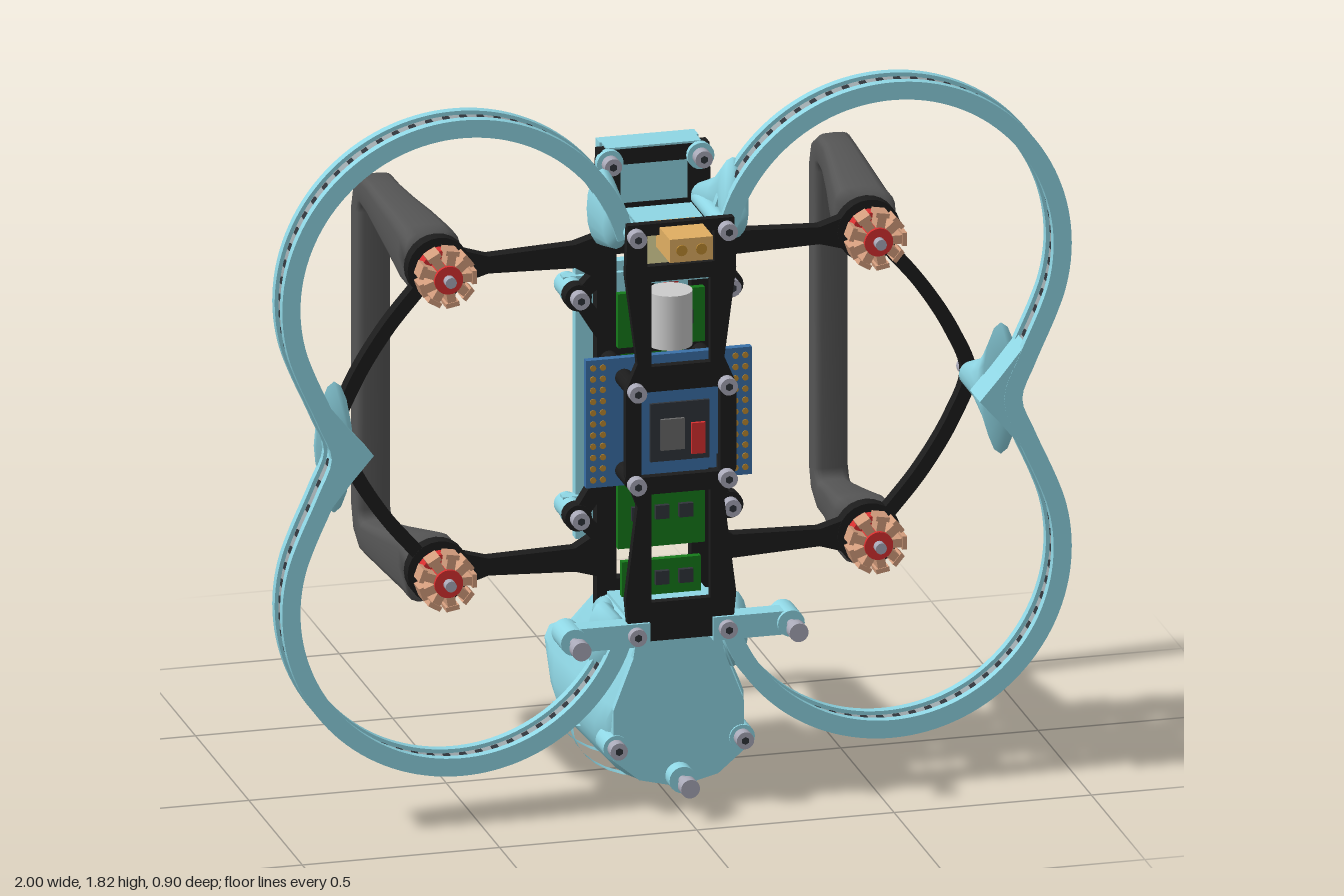
import * as THREE from 'three';

const mat = (color, side = THREE.FrontSide) => new THREE.MeshStandardMaterial({ color, side });
const CYAN = mat(0x8fd6e4), CYAN2 = mat(0x8fd6e4, THREE.DoubleSide), BLACK = mat(0x1c1c1c), GREY = mat(0x555555, THREE.DoubleSide);
const RED = mat(0xd83030), COPPER = mat(0xd29c7c), GREEN = mat(0x157a1a), BLUE = mat(0x3a70a8), GOLD = mat(0xbd8a30);
const YELLOW = mat(0xe0ae62), STEEL = mat(0xa9a9b8), SILVER = mat(0xcccccc), STRIP = mat(0x9aa4a8), CHIP = mat(0x30343a);
const MID = 0.98, MX = 0.545, MY = 0.393; // mirror height, motor offsets

export function createModel() {
  const root = new THREE.Group();
  let parent = root;
  const add = (name, geo, m) => {
    const mesh = new THREE.Mesh(geo, m);
    mesh.name = name;
    parent.add(mesh);
    return mesh;
  };
  const group = (name, build) => {
    const g = new THREE.Group();
    g.name = name;
    parent.add(g);
    const old = parent;
    parent = g;
    build();
    parent = old;
  };
  const box = (name, m, w, h, d, x, y, z) => {
    const b = add(name, new THREE.BoxGeometry(w, h, d), m);
    b.position.set(x, y, z);
    return b;
  };
  // cylinder along z from z0 to z1
  const rod = (name, m, r, x, y, z0, z1, n = 20) => {
    const g = new THREE.CylinderGeometry(r, r, Math.abs(z1 - z0), n).rotateX(Math.PI / 2);
    add(name, g, m).position.set(x, y, (z0 + z1) / 2);
  };
  const bolt = (x, y, z, dir = 1) => {
    rod('boltHead', STEEL, 0.022, x, y, z, z + dir * 0.03);
    rod('boltSocket', CHIP, 0.01, x, y, z + dir * 0.025, z + dir * 0.031, 6);
  };
  const slab = (name, m, shape, z0, z1) =>
    add(name, new THREE.ExtrudeGeometry(shape, { depth: z1 - z0, bevelEnabled: false, curveSegments: 16 }), m).position.z = z0;
  const poly = (pts) => new THREE.Shape(pts.map(([x, y]) => new THREE.Vector2(x, y)));
  const curve = (pts, n) => new THREE.CatmullRomCurve3(pts.map(([x, y]) => new THREE.Vector3(x, y, 0))).getPoints(n).map((p) => [p.x, p.y]);
  // strip of constant width following a flat path
  const band = (pts, w) => {
    const edge = (k) => pts.map(([x, y], i) => {
      const a = pts[Math.max(i - 1, 0)], b = pts[Math.min(i + 1, pts.length - 1)];
      const dx = b[0] - a[0], dy = b[1] - a[1], l = Math.hypot(dx, dy);
      return [x - (dy / l) * k, y + (dx / l) * k];
    });
    return poly([...edge(w / 2), ...edge(-w / 2).reverse()]);
  };
  const rectHole = (x, y, w, h) => new THREE.Path([[-1, -1], [1, -1], [1, 1], [-1, 1]].map(([a, b]) => new THREE.Vector2(x + a * w / 2, y + b * h / 2)));
  // skin over matching loops of points
  const loft = (name, m, loops, caps = true) => {
    const n = loops[0].length, pos = loops.flat(2), idx = [];
    for (let s = 0; s + 1 < loops.length; s++) for (let i = 0; i < n; i++) {
      const a = s * n + i, b = s * n + (i + 1) % n;
      idx.push(a, b, a + n, b, b + n, a + n);
    }
    if (caps) for (let i = 1; i + 1 < n; i++) {
      const e = (loops.length - 1) * n;
      idx.push(0, i + 1, i, e, e + i, e + i + 1);
    }
    const g = new THREE.BufferGeometry();
    g.setAttribute('position', new THREE.Float32BufferAttribute(pos, 3));
    g.setIndex(idx);
    g.computeVertexNormals();
    add(name, g, m);
  };
  // oval loops stacked along z: [z, x, y, halfX, halfY]
  const horn = (name, rows) => loft(name, CYAN2, rows.map(([z, x, y, a, b]) =>
    Array.from({ length: 16 }, (_, i) => [x + a * Math.cos(i * Math.PI / 8), y + b * Math.sin(i * Math.PI / 8), z])));

  for (const s of [1, -1]) {
    // Propeller guard: two flanges with a light strip between them
    group(s > 0 ? 'leftGuard' : 'rightGuard', () => {
      const half = [];
      for (let a = 165; a >= -25; a -= 10) {
        const t = a * Math.PI / 180;
        half.push([s * (MX + 0.4325 * Math.cos(t)), MID + MY + 0.4325 * Math.sin(t)]);
      }
      half.push([s * 0.888, 1.08]);
      const key = [...half, [s * 0.852, MID], ...half.map(([x, y]) => [x, 2 * MID - y]).reverse()];
      const path = curve(key, 150);
      slab('guardBackFlange', CYAN, band(path, 0.046), 0.22, 0.243);
      slab('guardFrontFlange', CYAN, band(path, 0.046), 0.292, 0.315);
      slab('lightStrip', STRIP, band(path, 0.026), 0.243, 0.292);
      for (let i = 2; i < 149; i += 2) {
        const b = box('light', CHIP, 0.016, 0.034, 0.026, path[i][0], path[i][1], 0.2675);
        b.rotation.z = Math.atan2(path[i + 1][1] - path[i - 1][1], path[i + 1][0] - path[i - 1][0]);
      }
      // waist web and mounting horns
      slab('guardWaist', CYAN, poly([[0.885, 1.12], [0.82, 1.04], [0.768, MID], [0.82, 0.92], [0.885, 0.84], [0.866, MID]].map(([x, y]) => [s * x, y])), 0.221, 0.314);
      horn('waistHorn', [[0.225, s * 0.845, MID, 0.045, 0.17], [0.2, s * 0.84, MID, 0.05, 0.11], [0.16, s * 0.825, MID, 0.042, 0.06], [0.1, s * 0.805, MID, 0.033, 0.033]]);
      bolt(s * 0.805, MID, 0.065, -1);
      for (const k of [1, -1]) {
        const y = (d) => MID + k * d;
        horn('innerHorn', [[0.3, s * 0.15, y(0.535), 0.035, 0.06], [0.225, s * 0.165, y(0.56), 0.04, 0.1], [0.18, s * 0.145, y(0.54), 0.035, 0.06], [0.1, s * 0.125, y(0.525), 0.032, 0.034]]);
      }
    });

    // Arms, outer braces and motors
    group(s > 0 ? 'leftArms' : 'rightArms', () => {
      for (const k of [1, -1]) {
        const y = MID + k * MY;
        slab('arm', BLACK, poly([[0.1, 0.06], [0.2, 0.03], [0.42, 0.02], [MX, 0.06], [MX, -0.06], [0.42, -0.024], [0.2, -0.03], [0.1, -0.09]].map(([x, d]) => [s * x, y + k * d])), 0.065, 0.1);
        rod('motorMount', BLACK, 0.08, s * MX, y, 0.064, 0.101, 24);
        rod('motorBase', RED, 0.058, s * MX, y, 0.1, 0.135, 24);
        rod('statorCore', RED, 0.036, s * MX, y, 0.13, 0.193, 24);
        rod('motorShaft', STEEL, 0.014, s * MX, y, 0.19, 0.215);
        for (let i = 0; i < 9; i++) {
          const t = i * Math.PI * 2 / 9;
          const c = Math.cos(t), n = Math.sin(t);
          box('coil', COPPER, 0.04, 0.022, 0.045, s * MX + 0.045 * c, y + 0.045 * n, 0.162).rotation.z = t;
          box('coilTooth', COPPER, 0.012, 0.034, 0.05, s * MX + 0.067 * c, y + 0.067 * n, 0.162).rotation.z = t;
        }
        // side lobe of the base plate with its standoff
        slab('plateLobe', BLACK, band([[s * 0.11, MID + k * 0.36], [s * 0.19, MID + k * 0.285], [s * 0.12, MID + k * 0.18]], 0.045), 0.065, 0.1);
        rod('lobeBoss', BLACK, 0.034, s * 0.192, MID + k * 0.285, 0.064, 0.102);
        rod('boardStandoff', CYAN, 0.03, s * 0.192, MID + k * 0.285, -0.02, 0.064);
        bolt(s * 0.192, MID + k * 0.285, 0.1);
      }
      const brace = [[0.58, 0.36], [0.68, 0.24], [0.76, 0.11], [0.8, 0], [0.76, -0.11], [0.68, -0.24], [0.58, -0.36]];
      slab('outerBrace', BLACK, band(curve(brace.map(([x, d]) => [s * x, MID + d]), 40), 0.034), 0.065, 0.1);
    });

    // Landing handle: rounded section swept around a U, flaring at the arms
    const spine = [[0.065, 1.382, 0.076, 0.552, 0.07], [0, 1.382, 0.076, 0.552, 0.07], [-0.1, 1.397, 0.066, 0.56, 0.062], [-0.2, 1.41, 0.055, 0.57, 0.053],
      [-0.3, 1.423, 0.046, 0.578, 0.045], [-0.36, 1.427, 0.042, 0.58, 0.045], [-0.395, 1.408, 0.039, 0.58, 0.045], [-0.412, 1.365, 0.036, 0.58, 0.045]];
    const full = [...spine, ...spine.map(([z, y, ...r]) => [z, 2 * MID - y, ...r]).reverse()];
    loft(s > 0 ? 'leftHandle' : 'rightHandle', GREY, full.map(([z, y, h, x, w], i) => {
      const a = full[Math.max(i - 1, 0)], b = full[Math.min(i + 1, full.length - 1)];
      const l = Math.hypot(b[0] - a[0], b[1] - a[1]), nz = -(b[1] - a[1]) / l, ny = (b[0] - a[0]) / l;
      return Array.from({ length: 20 }, (_, j) => {
        const c = Math.cos(j * Math.PI / 10), n = Math.sin(j * Math.PI / 10);
        const p = Math.sign(c) * Math.abs(c) ** 0.5 * w, q = Math.sign(n) * Math.abs(n) ** 0.5 * h;
        return [s * (x + p), y + q * ny, z + q * nz];
      });
    }));
  }

  // Base plate, front plate and standoffs
  group('centralFrame', () => {
    const base = poly([[-0.145, 0.46], [0.145, 0.46], [0.145, 1.5], [0.14, 1.64], [-0.14, 1.64], [-0.145, 1.5]]);
    base.holes.push(rectHole(0, 1.55, 0.17, 0.1), rectHole(0, 1.27, 0.19, 0.2), rectHole(0, 0.98, 0.17, 0.26), rectHole(0, 0.66, 0.19, 0.26));
    slab('basePlate', BLACK, base, 0.065, 0.1);
    const front = poly([[-0.13, 0.45], [0.13, 0.45], [0.14, 0.56], [0.11, 0.8], [0.14, 0.88], [0.14, 1.1], [0.11, 1.17], [0.14, 1.4], [0.135, 1.53],
      [-0.135, 1.53], [-0.14, 1.4], [-0.11, 1.17], [-0.14, 1.1], [-0.14, 0.88], [-0.11, 0.8], [-0.14, 0.56]]);
    front.holes.push(rectHole(0, 1.27, 0.15, 0.22), rectHole(0, 0.985, 0.2, 0.22), rectHole(0, 0.69, 0.15, 0.28), rectHole(0, 1.46, 0.17, 0.08));
    slab('frontPlate', BLACK, front, 0.33, 0.352);
    for (const x of [-0.115, 0.115]) {
      for (const y of [0.47, 0.86, 1.1, 1.5]) {
        rod('standoff', y === 0.86 || y === 1.1 ? BLACK : CYAN, 0.022, x, y, 0.1, 0.33);
        bolt(x, y, 0.35);
      }
      rod('topBoss', CYAN, 0.034, x, 1.61, 0.095, 0.115);
      bolt(x, 1.61, 0.115);
    }
  });

  // Electronics stack
  group('electronics', () => {
    box('sensorBoard', BLUE, 0.19, 0.21, 0.03, 0, 0.985, 0.32);
    box('sensorBezel', CHIP, 0.15, 0.15, 0.012, 0, 0.985, 0.337);
    box('sensorChip', mat(0x6a6a6a), 0.06, 0.08, 0.012, -0.02, 0.98, 0.345);
    box('sensorPort', RED, 0.035, 0.08, 0.014, 0.045, 0.965, 0.345);
    box('flightBoard', BLUE, 0.42, 0.33, 0.02, 0, 0.985, 0.23);
    for (const x of [-0.193, -0.168, 0.168, 0.193]) for (let i = 0; i < 11; i++) rod('pad', GOLD, 0.008, x, 0.84 + i * 0.029, 0.218, 0.243, 8);
    [[0.22, 0.14, 1.22], [0.22, 0.18, 0.72], [0.2, 0.09, 0.55]].forEach(([w, h, y]) => {
      box('powerBoard', GREEN, w, h, 0.018, 0, y, 0.16);
      for (const x of [-0.06, 0, 0.06]) box('powerChip', CHIP, 0.035, 0.035, 0.014, x, y, 0.174);
    });
    add('capacitor', new THREE.CylinderGeometry(0.055, 0.055, 0.14, 24), SILVER).position.set(0, 1.25, 0.25);
    box('connectorHolder', CYAN, 0.17, 0.14, 0.17, 0, 1.43, 0.22);
    box('connectorPlate', mat(0xe8dfa0), 0.15, 0.1, 0.02, 0, 1.46, 0.31);
    box('powerConnector', YELLOW, 0.11, 0.06, 0.15, 0, 1.49, 0.375);
    for (const x of [-0.025, 0.025]) {
      rod('connectorPin', GOLD, 0.014, x, 1.49, 0.44, 0.453);
      const wire = new THREE.CatmullRomCurve3([[1.46, 0.3], [1.39, 0.2], [1.3, 0.145], [1.18, 0.165]].map(([y, z]) => new THREE.Vector3(x * 1.2, y, z)));
      add('powerWire', new THREE.TubeGeometry(wire, 20, 0.019, 10), x > 0 ? RED : BLACK);
    }
  });

  // Rear computer board on its bracket
  group('computer', () => {
    const frame = poly([[-0.175, 0.61], [0.175, 0.61], [0.175, 1.32], [-0.175, 1.32]]);
    frame.holes.push(rectHole(0, 0.965, 0.26, 0.58));
    slab('bracket', CYAN, frame, -0.018, 0.012);
    for (const y of [0.695, 1.265]) box('bracketBar', CYAN, 0.42, 0.06, 0.03, 0, y, 0.01);
    box('computerBoard', GREEN, 0.31, 0.66, 0.016, 0.01, 0.97, -0.03);
    box('pinHeader', CHIP, 0.05, 0.52, 0.025, -0.12, 0.965, -0.05);
    for (const x of [-0.132, -0.108]) for (let i = 0; i < 20; i++) box('pin', GOLD, 0.008, 0.008, 0.12, x, 0.721 + i * 0.0257, -0.077);
    box('processor', CHIP, 0.13, 0.13, 0.018, 0.01, 0.98, -0.046);
    box('radioShield', SILVER, 0.11, 0.11, 0.02, 0, 1.18, -0.046);
    box('memory', CHIP, 0.1, 0.1, 0.014, 0.0, 0.81, -0.044);
    box('cardSlot', SILVER, 0.12, 0.1, 0.016, 0.02, 0.69, -0.044).scale.y = 0.6;
    for (const [y, h] of [[1.2, 0.11], [0.87, 0.08], [0.74, 0.08]]) box('port', SILVER, 0.07, h, 0.035, 0.15, y, -0.055);
    for (const x of [-0.115, 0.135]) for (const y of [0.67, 1.27]) bolt(x, y, -0.038, -1);
  });

  // Receiver tray at the top of the back
  group('receiver', () => {
    slab('trayMount', CYAN, poly([[-0.08, 1.38], [0.08, 1.38], [0.12, 1.645], [-0.12, 1.645]]), 0.045, 0.098);
    box('tray', CYAN, 0.25, 0.19, 0.04, 0, 1.55, 0.032);
    box('receiverBoard', mat(0x888c90), 0.21, 0.15, 0.02, 0, 1.55, 0.008);
    for (const [x, y, w, h] of [[-0.05, 1.58, 0.06, 0.05], [0.05, 1.57, 0.05, 0.07], [0, 1.51, 0.1, 0.03]]) box('receiverChip', CHIP, w, h, 0.03, x, y, -0.005);
    rod('receiverPlug', SILVER, 0.015, 0.07, 1.52, -0.04, 0);
  });

  // Scoop-shaped camera hood under the frame, open to the back
  group('cameraHood', () => {
    const outline = (hw, yb, yt) => {
      const knee = Math.min(0.28, yt), r = Math.min(0.17, knee - yb);
      const right = [[hw * (1 - 0.45 * Math.max(0, yt - 0.28) / 0.2), yt], [hw, knee]];
      const arc = Array.from({ length: 17 }, (_, i) => [hw * Math.cos(i * Math.PI / 16), yb + r - r * Math.sin(i * Math.PI / 16)]);
      return [...right, ...arc, ...right.map(([x, y]) => [-x, y]).reverse()];
    };
    const scoop = (name, rows, t) => loft(name, CYAN2, rows.map(([z, hw, yb, yt]) =>
      [...outline(hw, yb, yt), ...outline(hw - t, yb + t, yt).reverse()].map(([x, y]) => [x, y, z])), false);
    scoop('hoodShell', [[0.32, 0.165, 0.1, 0.46], [0.29, 0.175, 0.06, 0.47], [0.22, 0.185, 0.035, 0.48], [0.05, 0.19, 0.03, 0.48], [-0.02, 0.195, 0.03, 0.46],
      [-0.1, 0.2, 0.03, 0.355], [-0.15, 0.198, 0.05, 0.345], [-0.225, 0.19, 0.13, 0.31]], 0.018);
    for (const z of [0.05, -0.115]) scoop('hoodRib', [[z, 0.2, 0.004, 0.15], [z + 0.03, 0.2, 0.004, 0.15]], 0.03);
    slab('hoodFace', CYAN, poly([[-0.1, 0.5], [0.1, 0.5], [0.115, 0.4], [0.165, 0.27], [0.165, 0.14], [0.1, 0.085], [0, 0.06], [-0.1, 0.085], [-0.165, 0.14], [-0.165, 0.27], [-0.115, 0.4]]), 0.3, 0.33);
    box('hoodNeck', CYAN, 0.24, 0.05, 0.22, 0, 0.475, 0.2);
    const post = (x, y) => {
      rod('postBoss', CYAN, 0.034, x, y, 0.28, 0.37);
      rod('postShaft', STEEL, 0.012, x, y, 0.36, 0.41);
      rod('postHead', STEEL, 0.024, x, y, 0.41, 0.442);
    };
    post(0, 0.09);
    for (const s of [1, -1]) {
      slab('sideTab', CYAN, band([[s * 0.08, 0.47], [s * 0.27, 0.47]], 0.06), 0.31, 0.36);
      post(s * 0.275, 0.47);
      rod('faceBoss', CYAN, 0.032, s * 0.16, 0.175, 0.26, 0.335);
      bolt(s * 0.16, 0.175, 0.335);
    }
    // camera inside the hood
    box('cameraBoard', GOLD, 0.17, 0.17, 0.02, 0, 0.27, 0.12);
    rod('cameraBarrel', CYAN, 0.05, 0, 0.26, 0.03, 0.11);
    rod('cameraLens', CHIP, 0.035, 0, 0.26, 0.01, 0.03);
  });
  return root;
}
